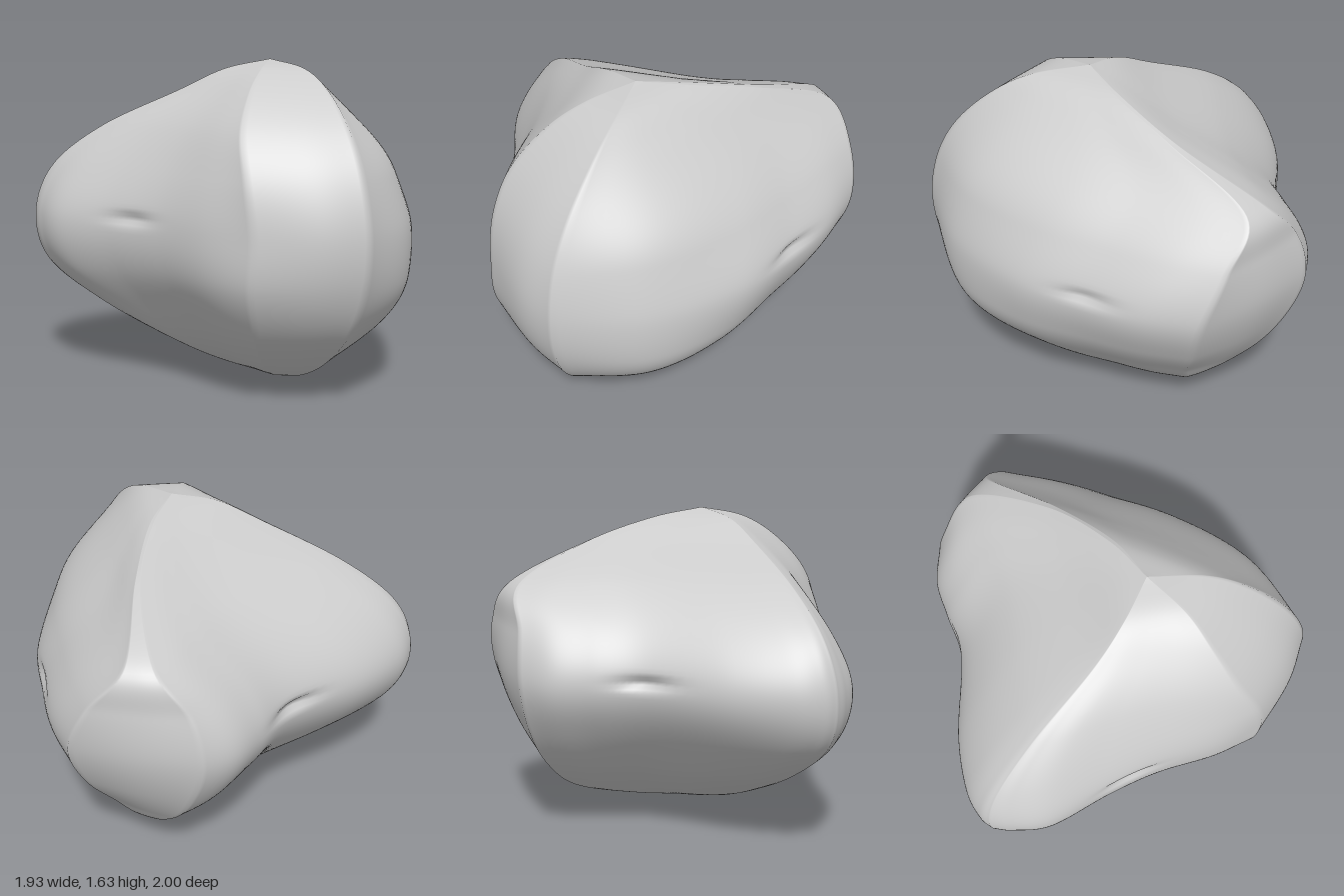
import * as THREE from 'three';

// Heights of the levels, and how much of the mid-height bulge each keeps
const LEVELS = [0, 0.06, 0.17, 0.36, 0.58, 0.83, 1.08, 1.29, 1.47, 1.58, 1.63];
const BULGE = [0, 0.5, 0.75, 0.86, 0.95, 1, 0.68, 0.42, 0.22, 0.12, 0];

// Ridge lines from the bottom tip to the top tip: x, z at each level
const LEFT = [[0.28, 0.19], [0.03, 0.14], [-0.25, 0.07], [-0.62, -0.08], [-0.9, -0.17], [-0.965, -0.2],
  [-0.87, -0.18], [-0.61, -0.08], [-0.24, 0.08], [-0.01, 0.15], [0.22, 0.18]];
const BACK_INNER = [[0.28, 0.19], [0.42, -0.15], [0.5, -0.5], [0.42, -0.76], [0.36, -0.92], [0.32, -1],
  [0.36, -0.96], [0.5, -0.84], [0.48, -0.41], [0.36, -0.06], [0.22, 0.18]];
const BACK_OUTER = [[0.28, 0.19], [0.43, -0.14], [0.53, -0.48], [0.68, -0.56], [0.82, -0.65], [0.89, -0.72],
  [0.8, -0.79], [0.62, -0.8], [0.5, -0.39], [0.37, -0.04], [0.22, 0.18]];
const FRONT_OUTER = [[0.28, 0.19], [0.33, 0.44], [0.4, 0.64], [0.46, 0.85], [0.5, 0.96], [0.51, 0.99],
  [0.49, 0.94], [0.46, 0.82], [0.41, 0.63], [0.34, 0.43], [0.22, 0.18]];
const FRONT_INNER = [[0.28, 0.19], [0.2, 0.41], [0.11, 0.6], [0.03, 0.79], [-0.02, 0.9], [-0.01, 0.92],
  [-0.03, 0.87], [-0.03, 0.75], [0.04, 0.58], [0.13, 0.41], [0.22, 0.18]];

// Faces between ridges: mid-height outline points, hollow of the slopes (negative
// swells them), skew of the hollow towards the second ridge, columns
const FACES = [
  { from: LEFT, to: BACK_INNER, mid: [[-0.94, -0.27], [-0.84, -0.38], [-0.6, -0.52], [-0.2, -0.67], [0, -0.83], [0.15, -0.95]], sag: 0.04, skew: 1, cols: 60 },
  { from: BACK_INNER, to: BACK_OUTER, mid: [[0.6, -0.89]], sag: 0, skew: 1, cols: 20 },
  { from: BACK_OUTER, to: FRONT_OUTER, mid: [[0.95, -0.45], [0.96, -0.17], [0.95, 0.2], [0.8, 0.65]], sag: -0.045, skew: 2, cols: 60 },
  { from: FRONT_OUTER, to: FRONT_INNER, mid: [[0.28, 0.99]], sag: 0, skew: 1, cols: 20 },
  { from: FRONT_INNER, to: LEFT, mid: [[-0.2, 0.75], [-0.4, 0.5], [-0.6, 0.3], [-0.85, 0.08], [-0.94, -0.1]], sag: 0.03, skew: 1, cols: 60 },
];
// Pinched slits at mid height: x, z
const SLITS = [[-0.52, 0.38], [0.96, -0.17], [-0.2, -0.67]];
const MID = 5, ROWS = 120;

const spline = (points) => new THREE.CatmullRomCurve3(points, false, 'catmullrom', 0.5);
const flat = ([x, z]) => new THREE.Vector3(x, 0, z);
const ridgeCurve = (ridge) => spline(ridge.map(([x, z], i) => new THREE.Vector3(x, LEVELS[i], z)));

// Columns of a face: share along the chord between its ridges, relative bulge, hollow, slit depth
function faceColumns({ from, to, mid, sag, skew, cols }) {
  const a = flat(from[MID]), b = flat(to[MID]);
  const outline = spline([a, ...mid.map(flat), b]);
  const chord = b.clone().sub(a), len2 = chord.lengthSq();
  const ridges = [ridgeCurve(from), ridgeCurve(to)];
  return Array.from({ length: cols }, (_, i) => {
    const p = outline.getPoint(i / cols), q = p.clone().sub(a);
    const t = q.dot(chord) / len2, d = (q.x * chord.z - q.z * chord.x) / len2;
    const hollow = sag * Math.sin(Math.PI * THREE.MathUtils.clamp(t, 0, 1) ** skew);
    const slit = SLITS.reduce((s, [x, z]) => s + 0.04 * Math.exp(-(((p.x - x) ** 2 + (p.z - z) ** 2) / 0.017)), 0);
    return { ridges, t, d, hollow, slit };
  });
}

function lobedSolid() {
  const columns = FACES.flatMap(faceColumns), n = columns.length;
  const bulge = spline(BULGE.map((w) => new THREE.Vector3(w, 0, 0)));
  const positions = [], index = [];
  for (let j = 0; j <= ROWS; j++) {
    const s = j / ROWS, w = bulge.getPoint(s).x;
    columns.forEach(({ ridges, t, d, hollow, slit }, i) => {
      const a = ridges[0].getPoint(s), b = ridges[1].getPoint(s);
      const v = Math.min(1, Math.abs(a.y - 0.83) / 0.815);
      const out = d * w - hollow * Math.sin(Math.PI * v) ** 2;
      const pinch = 1 - slit * Math.exp(-(((a.y - 0.86) / 0.025) ** 2));
      const x = a.x + (b.x - a.x) * t + (b.z - a.z) * out;
      const z = a.z + (b.z - a.z) * t - (b.x - a.x) * out;
      positions.push(0.25 + (x - 0.25) * pinch, a.y, 0.19 + (z - 0.19) * pinch);
      if (j < ROWS) {
        const p = j * n + i, q = j * n + (i + 1) % n;
        index.push(p, p + n, q, q, p + n, q + n);
      }
    });
  }
  const geometry = new THREE.BufferGeometry();
  geometry.setAttribute('position', new THREE.Float32BufferAttribute(positions, 3));
  geometry.setIndex(index);
  geometry.computeVertexNormals();
  return geometry;
}

export function createModel() {
  const group = new THREE.Group();
  const body = new THREE.Mesh(lobedSolid(), new THREE.MeshStandardMaterial({ color: 0xcccccc }));
  body.name = 'lobedBody';
  group.add(body);
  return group;
}
